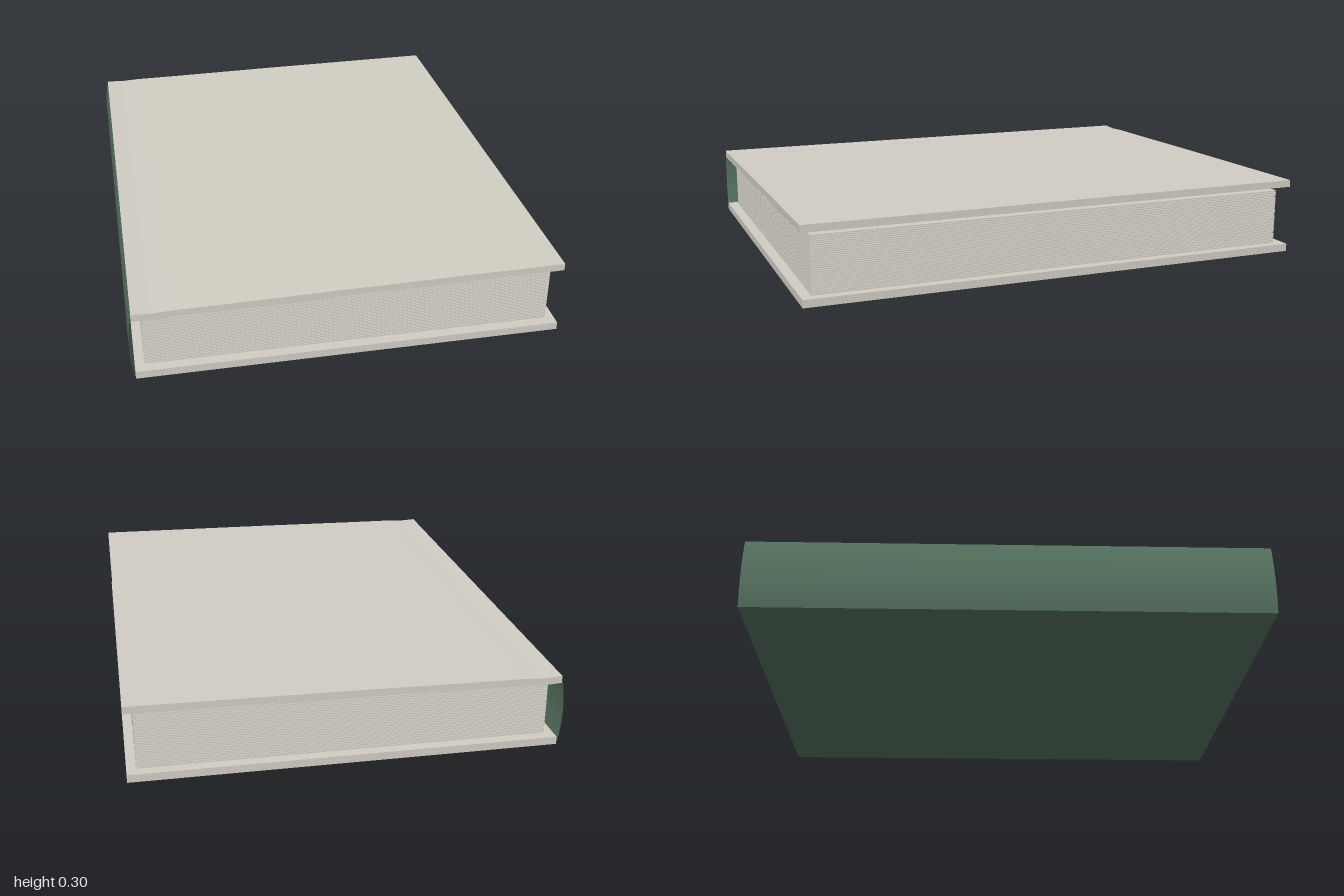
import * as THREE from 'three';

export function createModel() {
  const book = new THREE.Group();
  book.name = 'book';

  const cream = new THREE.MeshStandardMaterial({ color: 0xd2cec4 });
  cream.name = 'cream paper';
  const green = new THREE.MeshStandardMaterial({ color: 0x587663, side: THREE.DoubleSide });
  green.name = 'green cloth';

  const add = (name, geometry, material, x = 0, y = 0, z = 0, parent = book) => {
    const mesh = new THREE.Mesh(geometry, material);
    mesh.name = name;
    mesh.position.set(x, y, z);
    parent.add(mesh);
    return mesh;
  };

  // Back board: cream with a green outer (bottom) face
  add('backCover', new THREE.BoxGeometry(1.59, 0.03, 2),
    [cream, cream, cream, green, cream, cream], 0.005, 0.015, 0);

  // Front board: slightly raised at the fore edge, shallow hinge groove by the spine
  const topLine = [[-0.79, 0.28], [-0.72, 0.276], [-0.65, 0.28], [-0.44, 0.282],
    [0, 0.288], [0.4, 0.292], [0.8, 0.296]];
  const lowLine = topLine.map(([x, y]) => [x, y - 0.028]).reverse();
  const profile = new THREE.Shape([...topLine, ...lowLine].map(([x, y]) => new THREE.Vector2(x, y)));
  add('frontCover', new THREE.ExtrudeGeometry(profile, { depth: 2, bevelEnabled: false }), cream, 0, 0, -1);

  // Spine: thin curved sheet bulging outwards
  const spineGeo = new THREE.PlaneGeometry(2, 0.28, 1, 16);
  spineGeo.rotateY(-Math.PI / 2);
  const p = spineGeo.attributes.position;
  for (let i = 0; i < p.count; i++) {
    const t = p.getY(i) / 0.14;
    p.setX(i, -0.79 - 0.015 * (1 - t * t));
  }
  spineGeo.computeVertexNormals();
  add('spine', spineGeo, green, 0, 0.14, 0);

  // Page block: a core with separate thin leaves standing just proud of it
  const pages = new THREE.Group();
  pages.name = 'pages';
  book.add(pages);
  add('pageCore', new THREE.BoxGeometry(1.505, 0.218, 1.905), cream, 0.005, 0.139, 0, pages);
  const leaves = 32, step = 0.22 / leaves;
  const leafGeo = new THREE.BoxGeometry(1.52, step * 0.72, 1.92);
  for (let i = 0; i < leaves; i++) {
    add('leaf', leafGeo, cream, 0.005, 0.03 + (i + 0.5) * step, 0, pages);
  }

  return book;
}
